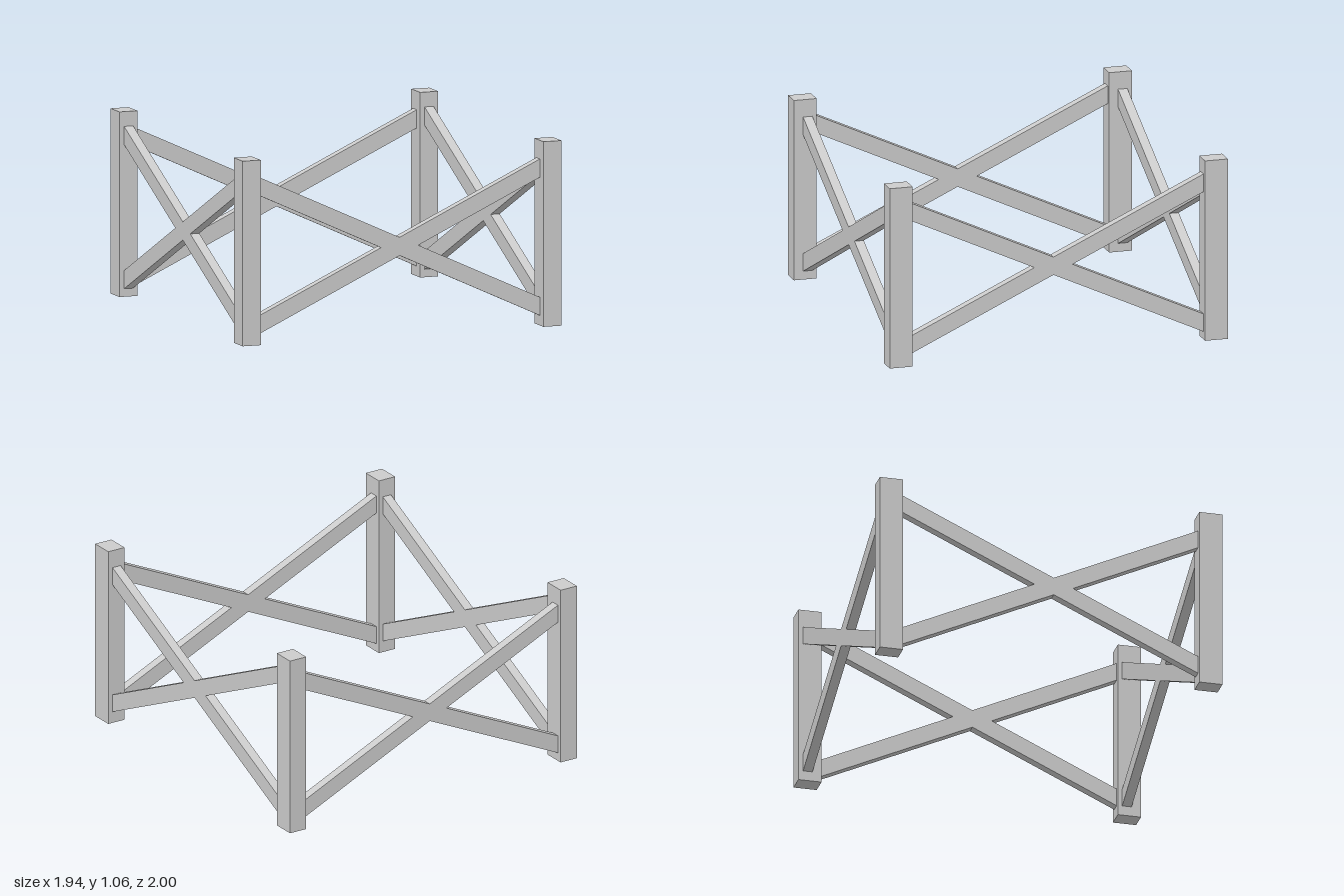
import * as THREE from 'three';

export function createModel() {
  const model = new THREE.Group();
  model.name = 'crossBracedFrame';
  const material = new THREE.MeshStandardMaterial({ color: 0xcccccc, flatShading: true });

  const height = 1.06, postX = 0.11, postZ = 0.135;
  const beamDepth = 0.095, beamWidth = 0.055, overlap = 0.03;

  // Corner posts
  const postGeometry = new THREE.BoxGeometry(postX, height, postZ);
  for (const [sx, sz, name] of [
    [1, 1, 'frontLeftPost'], [-1, 1, 'frontRightPost'],
    [1, -1, 'backLeftPost'], [-1, -1, 'backRightPost'],
  ]) {
    const post = new THREE.Mesh(postGeometry, material);
    post.name = name;
    post.position.set(sx * (0.971 - postX / 2), height / 2, sz * (1 - postZ / 2));
    model.add(post);
  }

  // Sloping beam in the local xy plane, run slightly into the posts
  function addBeam(parent, name, x0, y0, x1, y1) {
    const dx = x1 - x0, dy = y1 - y0;
    const length = Math.hypot(dx, dy) + 2 * overlap;
    const beam = new THREE.Mesh(new THREE.BoxGeometry(length, beamDepth, beamWidth), material);
    beam.name = name;
    beam.position.set((x0 + x1) / 2, (y0 + y1) / 2, 0);
    beam.rotation.z = Math.atan2(dy, dx);
    parent.add(beam);
  }

  // Crossed braces on the front and back
  for (const [name, z] of [['frontBraces', 0.918], ['backBraces', -0.945]]) {
    const cross = new THREE.Group();
    cross.name = name;
    addBeam(cross, 'fallingBrace', -0.862, 0.906, 0.862, 0.109);
    addBeam(cross, 'risingBrace', -0.862, 0.101, 0.862, 0.901);
    cross.position.z = z;
    model.add(cross);
  }

  // Crossed braces on the sides; local x runs toward the back
  for (const [name, x] of [['leftBraces', 0.915], ['rightBraces', -0.915]]) {
    const cross = new THREE.Group();
    cross.name = name;
    addBeam(cross, 'fallingBrace', -0.865, 0.903, 0.863, 0.099);
    addBeam(cross, 'risingBrace', -0.865, 0.12, 0.863, 0.922);
    cross.rotation.y = Math.PI / 2;
    cross.position.x = x;
    model.add(cross);
  }

  return model;
}
